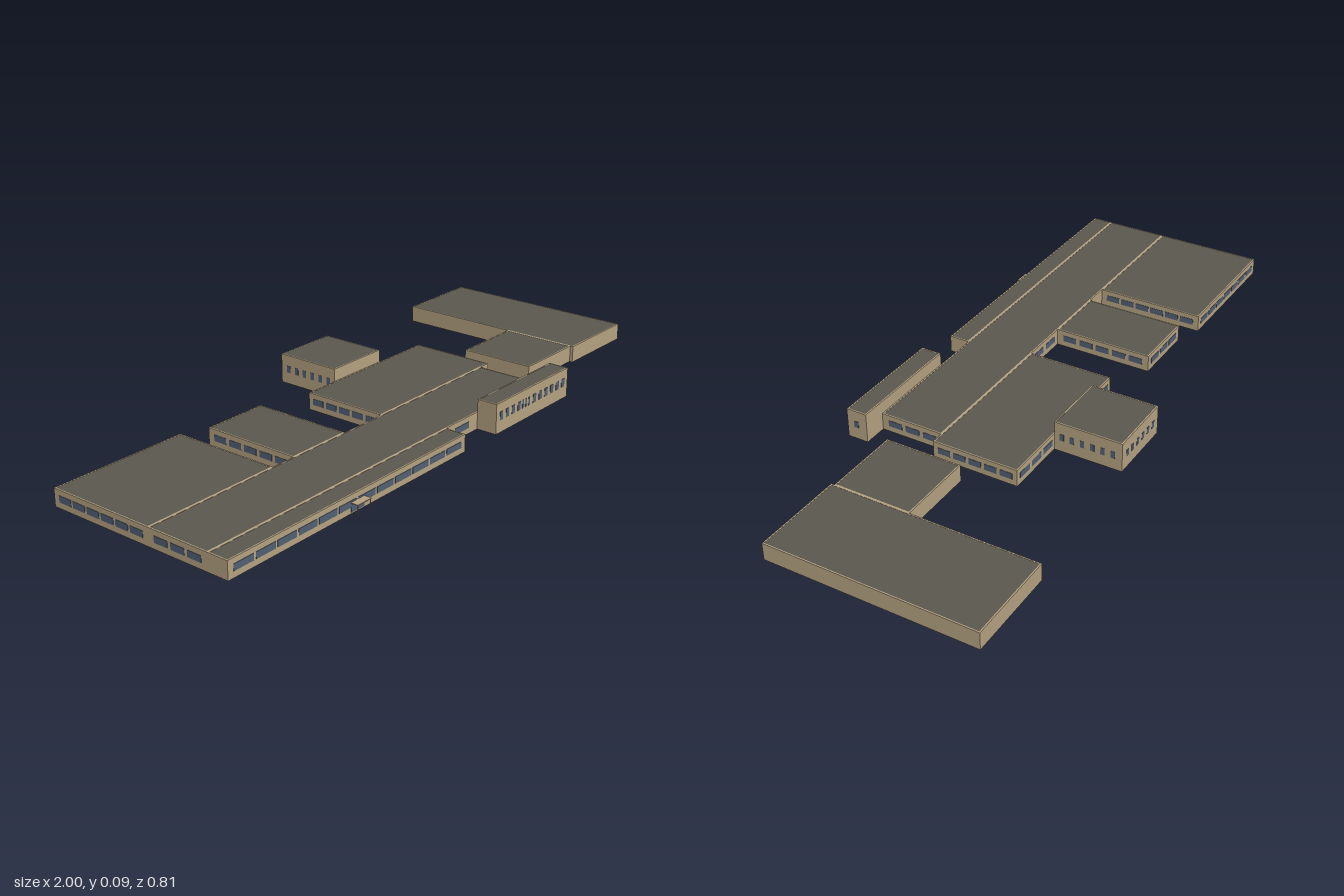
import * as THREE from 'three';

const mat = (name, color, side = THREE.FrontSide) => {
  const m = new THREE.MeshStandardMaterial({ color, side });
  m.name = name;
  return m;
};

export function createModel() {
  const wallMat = mat('tan wall', 0xb5a281);
  const roofMat = mat('dark roof', 0x5b594f);
  const glassMat = mat('blue grey glass', 0x526074);
  const root = new THREE.Group();
  root.name = 'buildingComplex';

  const T = 0.004; // wall thickness
  const LOW = 0.053, HIGH = 0.092;

  const box = (parent, name, m, x0, x1, y0, y1, z0, z1) => {
    const mesh = new THREE.Mesh(new THREE.BoxGeometry(x1 - x0, y1 - y0, z1 - z0), m);
    mesh.position.set((x0 + x1) / 2, (y0 + y1) / 2, (z0 + z1) / 2);
    mesh.name = name;
    parent.add(mesh);
  };

  // Hollow wall ring, open underneath, with a flat roof just inside its rim
  const block = (name, x0, x1, z0, z1, h) => {
    const g = new THREE.Group();
    g.name = name;
    const rect = (C, i) => new C([
      new THREE.Vector2(x0 + i, -z1 + i), new THREE.Vector2(x1 - i, -z1 + i),
      new THREE.Vector2(x1 - i, -z0 - i), new THREE.Vector2(x0 + i, -z0 - i)]);
    const shape = rect(THREE.Shape, 0);
    shape.holes.push(rect(THREE.Path, T));
    const geo = new THREE.ExtrudeGeometry(shape, { depth: h, bevelEnabled: false });
    geo.rotateX(-Math.PI / 2);
    const walls = new THREE.Mesh(geo, wallMat);
    walls.name = 'walls';
    g.add(walls);
    box(g, 'roof', roofMat, x0 + T, x1 - T, h - 0.003, h - 0.0005, z0 + T, z1 - T);
    root.add(g);
    return { g, x0, x1, z0, z1 };
  };

  // Row of n window plates on one side, spread evenly between a and b
  const windows = (b, side, from, to, n, width, y0, y1) => {
    const pitch = (to - from) / n, d = 0.001;
    for (let i = 0; i < n; i++) {
      const c = from + pitch * (i + 0.5), p = c - width / 2, q = c + width / 2;
      if (side === 'front') box(b.g, 'window', glassMat, p, q, y0, y1, b.z1 - d, b.z1 + d);
      if (side === 'back') box(b.g, 'window', glassMat, p, q, y0, y1, b.z0 - d, b.z0 + d);
      if (side === 'left') box(b.g, 'window', glassMat, b.x1 - d, b.x1 + d, y0, y1, p, q);
      if (side === 'right') box(b.g, 'window', glassMat, b.x0 - d, b.x0 + d, y0, y1, p, q);
    }
  };

  const main = block('mainHall', -1, 0.38, 0.115, 0.315, LOW);
  const strip = block('frontStrip', -1, -0.07, 0.315, 0.38, LOW);
  const wing = block('rearWing', -1, -0.56, -0.23, 0.115, LOW);
  const annex = block('smallRearWing', -0.48, -0.27, -0.2, 0.115, LOW);
  const centre = block('centreWing', -0.11, 0.42, -0.155, 0.115, LOW);
  const tower = block('rearTower', 0.005, 0.22, -0.368, -0.155, HIGH);
  const frontTall = block('tallFrontBlock', 0.08, 0.455, 0.315, 0.38, HIGH);
  block('linkBlock', 0.475, 0.715, -0.01, 0.23, LOW);
  block('sideHall', 0.715, 1, -0.405, 0.24, LOW);

  // Low window bands
  const Y0 = 0.018, Y1 = 0.037;
  windows(strip, 'front', -0.985, -0.085, 12, 0.068, Y0, Y1);
  windows(main, 'front', -0.03, 0.04, 1, 0.068, Y0, Y1);
  windows(main, 'left', 0.125, 0.3, 3, 0.046, Y0, Y1);
  windows(main, 'right', 0.13, 0.3, 3, 0.046, Y0, Y1);
  windows(main, 'back', -0.26, -0.12, 2, 0.055, Y0, Y1);
  windows(wing, 'back', -0.985, -0.575, 7, 0.05, Y0, Y1);
  windows(wing, 'left', -0.215, 0.1, 6, 0.045, Y0, Y1);
  windows(wing, 'right', -0.215, 0.1, 6, 0.045, Y0, Y1);
  windows(annex, 'back', -0.465, -0.285, 3, 0.05, Y0, Y1);
  windows(annex, 'left', -0.185, 0.1, 5, 0.045, Y0, Y1);
  windows(annex, 'right', -0.185, 0.1, 5, 0.045, Y0, Y1);
  windows(centre, 'back', -0.1, 0, 2, 0.04, Y0, Y1);
  windows(centre, 'back', 0.225, 0.41, 3, 0.05, Y0, Y1);
  windows(centre, 'left', -0.145, 0.105, 5, 0.04, Y0, Y1);
  windows(centre, 'right', -0.145, 0.105, 5, 0.04, Y0, Y1);

  // Tall block and tower windows
  windows(frontTall, 'front', 0.09, 0.21, 4, 0.014, 0.038, 0.064);
  windows(frontTall, 'front', 0.207, 0.255, 3, 0.007, 0.038, 0.064);
  windows(frontTall, 'front', 0.26, 0.445, 6, 0.016, 0.038, 0.064);
  windows(frontTall, 'left', 0.34, 0.36, 1, 0.015, 0.038, 0.058);
  for (const side of ['left', 'right']) windows(tower, side, -0.355, -0.163, 6, 0.013, 0.036, 0.058);
  windows(tower, 'back', 0.02, 0.205, 6, 0.013, 0.036, 0.058);

  // Entrance door, canopy and posts
  box(strip.g, 'door', glassMat, -0.56, -0.508, 0.004, 0.03, 0.379, 0.3815);
  box(strip.g, 'canopy', wallMat, -0.562, -0.508, 0.03, 0.0325, 0.38, 0.404);
  for (const x of [-0.561, -0.511]) box(strip.g, 'canopyPost', wallMat, x, x + 0.002, 0, 0.03, 0.401, 0.403);

  return root;
}
